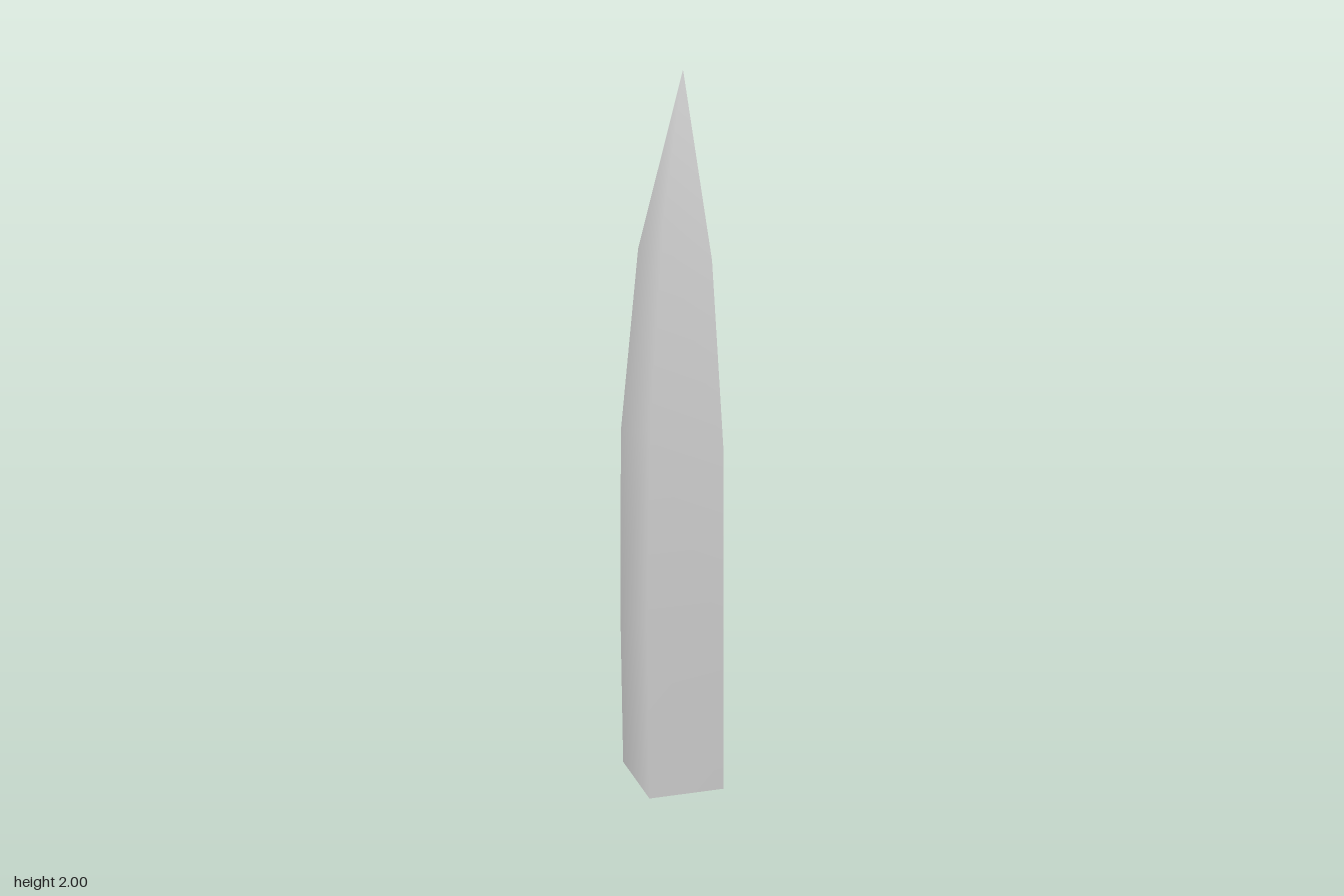
import * as THREE from 'three';

// Cross-sections from base to tip: side edge (x, y, z), front ridge (y, z), back groove (y, z)
const SECTIONS = [
  { edge: [0.158, 0, -0.05], ridge: [0, 0.09], groove: [0, 0.0] },
  { edge: [0.158, 0.48, -0.041], ridge: [0.52, 0.1], groove: [0.5, 0.008] },
  { edge: [0.152, 1.02, -0.041], ridge: [1.1, 0.081], groove: [1.06, 0.0] },
  { edge: [0.106, 1.53, -0.057], ridge: [1.65, 0.003], groove: [1.58, -0.037] },
];
const TIP = [0, 2, -0.1];

const material = new THREE.MeshStandardMaterial({ color: 0xcccccc });

function makeMesh(name, positions, index) {
  const geometry = new THREE.BufferGeometry();
  geometry.setAttribute('position', new THREE.Float32BufferAttribute(positions.flat(), 3));
  geometry.setIndex(index);
  geometry.computeVertexNormals();
  const mesh = new THREE.Mesh(geometry, material);
  mesh.name = name;
  return mesh;
}

// One folded face: edge, centre line, edge, running up to the shared tip
function foldedFace(name, centre, facesBack) {
  const positions = [];
  for (const s of SECTIONS) {
    const [x, y, z] = s.edge;
    positions.push([-x, y, z], [0, ...s[centre]], [x, y, z]);
  }
  const tip = positions.push(TIP) - 1;
  const index = [];
  const tri = (a, b, c) => index.push(...(facesBack ? [a, c, b] : [a, b, c]));
  const last = SECTIONS.length - 1;
  for (let i = 0; i < last; i++) {
    const l = i * 3, c = l + 1, r = l + 2;
    tri(l, c, c + 3);
    tri(l, c + 3, l + 3);
    tri(c, r, c + 3);
    tri(r, r + 3, c + 3);
  }
  const l = last * 3;
  tri(l, l + 1, tip);
  tri(l + 1, l + 2, tip);
  return makeMesh(name, positions, index);
}

export function createModel() {
  const group = new THREE.Group();
  group.name = 'blade';

  group.add(foldedFace('bladeFront', 'ridge', false));
  group.add(foldedFace('bladeBack', 'groove', true));

  // Chevron closing the base, facing down
  const { edge: [x, y, z], ridge, groove } = SECTIONS[0];
  group.add(makeMesh('bladeBase',
    [[-x, y, z], [0, ...ridge], [x, y, z], [0, ...groove]],
    [0, 3, 1, 1, 3, 2]));

  return group;
}
